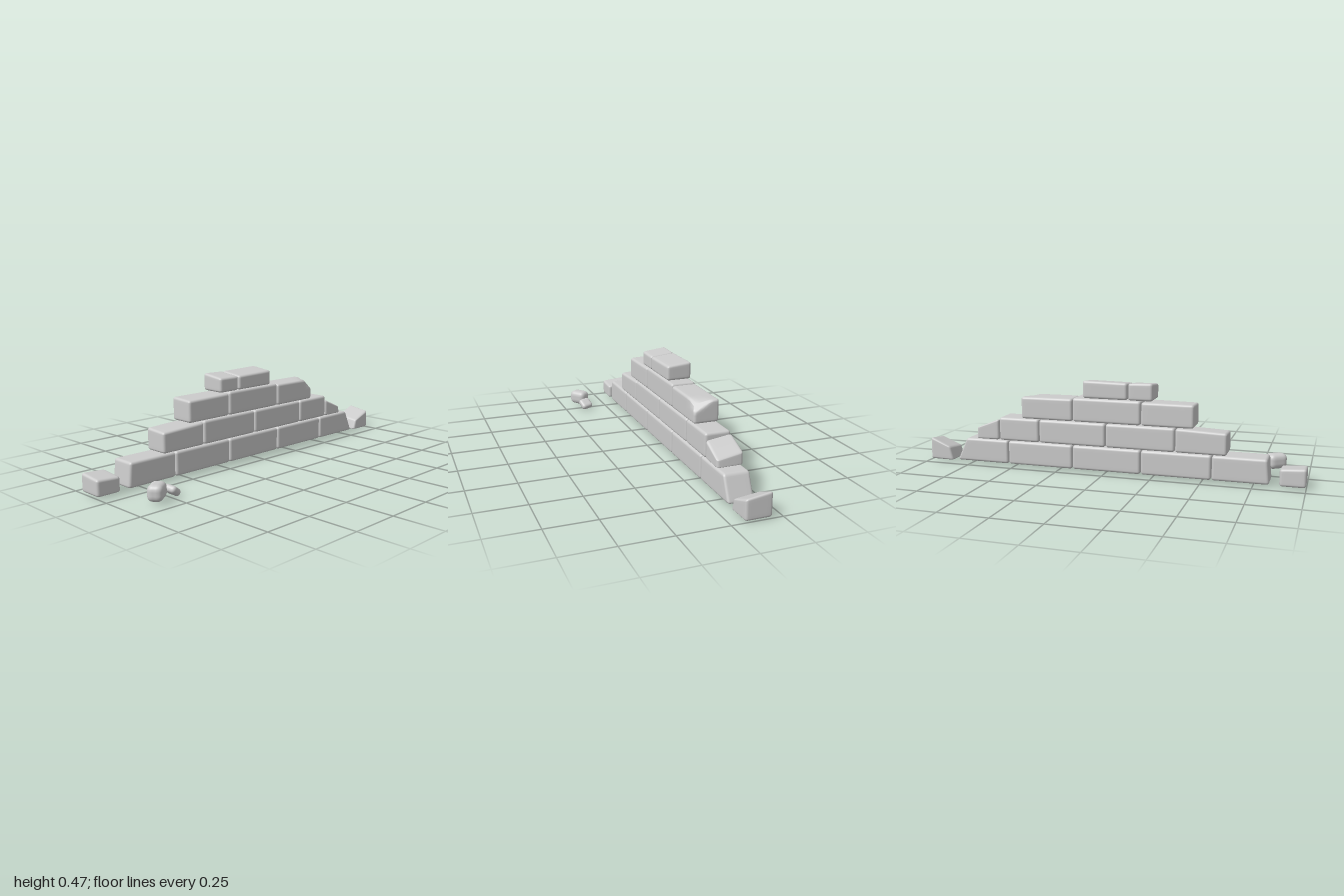
import * as THREE from 'three';
import { mergeVertices } from 'three/addons/utils/BufferGeometryUtils.js';

const stone = new THREE.MeshStandardMaterial({ color: 0xcccccc });
const N = 12, ROUND = 3; // cells per side, cells spent on each rounded edge

// Grid position (-0.5..0.5) to a coordinate with extra cells near the edges
function spread(u, half, r) {
  const i = Math.round((u + 0.5) * N);
  if (i <= ROUND) return -half + (r * i) / ROUND;
  if (i >= N - ROUND) return half - (r * (N - i)) / ROUND;
  return THREE.MathUtils.mapLinear(i, ROUND, N - ROUND, -half + r, half - r);
}

// Rounded block. drop: lowering of the top corners [leftFront, rightFront, leftBack, rightBack] in -x/+x order,
// lean: shift of the top of the -x and +x ends, cut: three points of a plane that chips a corner off
function block(name, size, { r = 0.014, drop = [0, 0, 0, 0], lean = [0, 0], cut, center = [0, 0, 0] } = {}) {
  let geo = new THREE.BoxGeometry(1, 1, 1, N, N, N);
  geo.deleteAttribute('normal');
  geo.deleteAttribute('uv');
  geo = mergeVertices(geo);
  const half = new THREE.Vector3(...size).multiplyScalar(0.5);
  const inner = half.clone().subScalar(r);
  const low = inner.clone().negate();
  const middle = new THREE.Vector3(...center);
  let plane;
  if (cut) {
    const pts = cut.map((p) => new THREE.Vector3(...p).sub(middle));
    plane = new THREE.Plane().setFromCoplanarPoints(...pts);
    if (plane.distanceToPoint(new THREE.Vector3()) > 0) plane.negate();
  }
  const pos = geo.attributes.position;
  const p = new THREE.Vector3(), c = new THREE.Vector3();
  for (let i = 0; i < pos.count; i++) {
    p.fromBufferAttribute(pos, i);
    p.set(spread(p.x, half.x, r), spread(p.y, half.y, r), spread(p.z, half.z, r));
    c.copy(p).clamp(low, inner);
    p.sub(c).setLength(r).add(c);
    const a = p.x / size[0] + 0.5, t = p.y / size[1] + 0.5, f = p.z / size[2] + 0.5;
    const fall = f * (drop[0] * (1 - a) + drop[1] * a) + (1 - f) * (drop[2] * (1 - a) + drop[3] * a);
    p.x += t * (lean[0] * (1 - a) + lean[1] * a);
    p.y -= t * fall;
    if (plane) {
      const d = plane.distanceToPoint(p);
      if (d > 0) p.addScaledVector(plane.normal, -d);
    }
    pos.setXYZ(i, p.x, p.y, p.z);
  }
  geo.computeVertexNormals();
  const mesh = new THREE.Mesh(geo, stone);
  mesh.name = name;
  mesh.position.copy(middle);
  return mesh;
}

// Block given by its extents along x and y, in the plane of the wall
function brick(name, x0, x1, y0, y1, options = {}) {
  const z0 = -0.199, z1 = -0.067;
  return block(name, [x1 - x0, y1 - y0, z1 - z0], {
    ...options, center: [(x0 + x1) / 2, (y0 + y1) / 2, (z0 + z1) / 2],
  });
}

export function createModel() {
  const model = new THREE.Group();
  model.name = 'ruinedWall';

  // Courses of the wall, bottom to top: [x0, x1, options]
  const courses = [
    { y: [0.012, 0.137], bricks: [
      [-0.828, -0.548, { lean: [0.012, 0] }], [-0.545, -0.189], [-0.186, 0.175], [0.178, 0.535],
      [0.538, 0.837, { lean: [0, -0.058] }]] },
    { y: [0.139, 0.261], bricks: [
      [-0.62, -0.364, { drop: [0.018, 0.006, 0.01, 0] }], [-0.361, -0.004], [-0.001, 0.358],
      [0.361, 0.584], [0.587, 0.718, { drop: [0.028, 0.085, 0.008, 0.06], lean: [0, -0.005] }]] },
    { y: [0.263, 0.385], bricks: [
      [-0.456, -0.189, { drop: [0.01, 0.006, 0.004, 0.004] }], [-0.186, 0.172],
      [0.175, 0.456, { drop: [0.006, 0.008, 0.006, 0.008],
        cut: [[0.385, 0.38, -0.067], [0.456, 0.38, -0.185], [0.456, 0.315, -0.067]] }]] },
    { y: [0.387, 0.478], bricks: [
      [-0.248, -0.122, { drop: [0.016, 0.018, 0, 0.004] }],
      [-0.117, 0.117, { drop: [0.018, 0.014, 0.004, 0] }]] },
  ];
  courses.forEach(({ y, bricks }, row) => {
    const course = new THREE.Group();
    course.name = `course${row + 1}`;
    bricks.forEach(([x0, x1, options], i) =>
      course.add(brick(`brick${row + 1}_${i + 1}`, x0, x1, ...y, options)));
    model.add(course);
  });

  // Broken blocks lying at both ends
  model.add(brick('fallenBlockRight', -1, -0.874, 0.01, 0.104, { drop: [0.012, 0.02, 0, 0.008] }));
  model.add(brick('fallenBlockLeft', 0.864, 1, 0.007, 0.13, { drop: [0.066, 0.02, 0.05, 0], lean: [0.018, -0.003] }));

  // Rubble in front of the wall
  const rubble = block('rubbleStone', [0.104, 0.078, 0.074], { r: 0.026, center: [-0.828, 0.051, 0.142] });
  rubble.rotation.y = 0.65;
  const pebble = block('pebble', [0.068, 0.036, 0.068], { r: 0.017, center: [-0.734, 0.033, 0.13] });
  pebble.rotation.set(0.15, 0.25, -0.65);
  model.add(rubble, pebble);

  return model;
}
